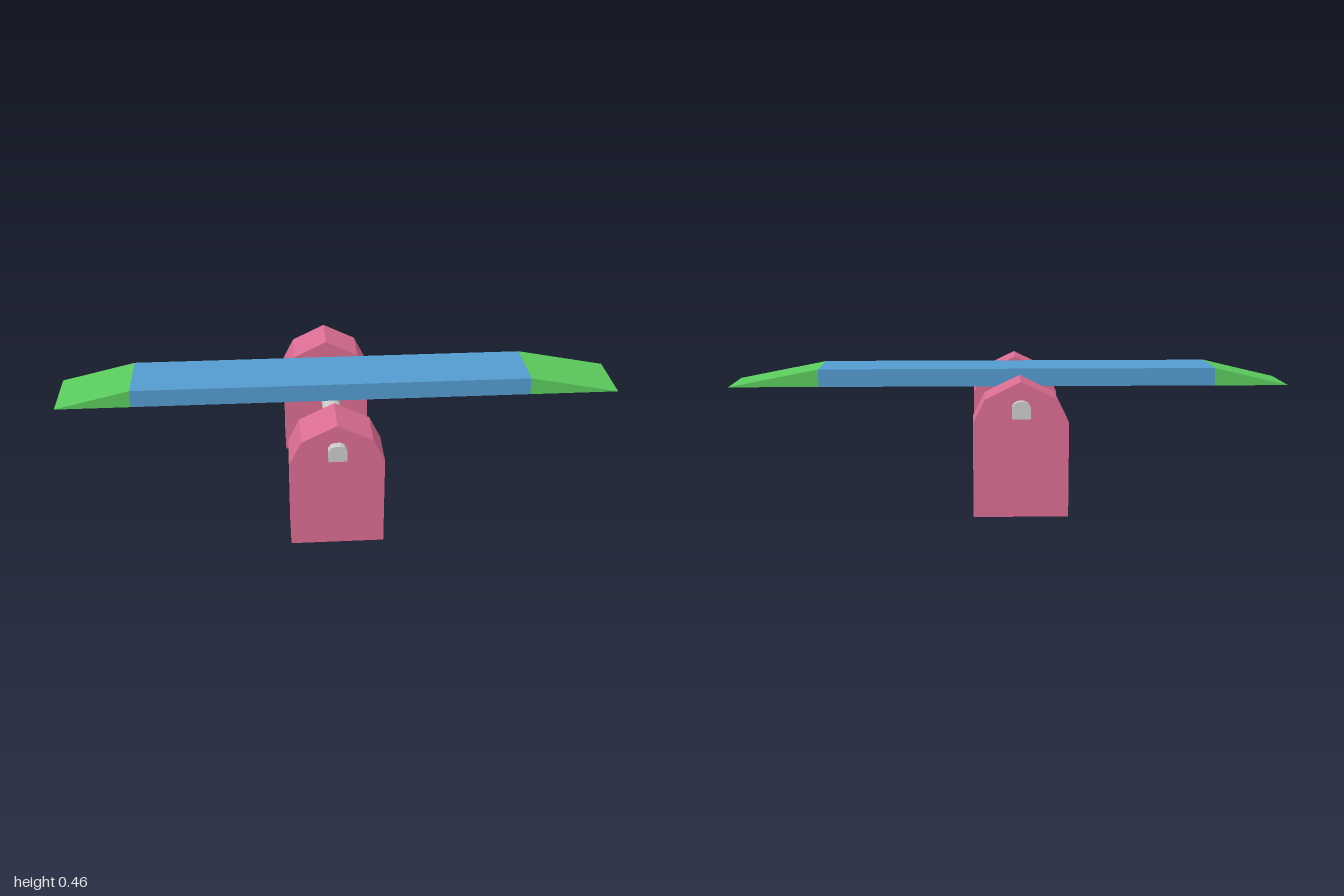
import * as THREE from 'three';

const PIVOT_X = -0.03;

const material = (color) => new THREE.MeshStandardMaterial({ color, flatShading: true });

// Extrude an x/y outline along z, centred on z = 0
function prism(name, points, depth, mat) {
  const shape = new THREE.Shape(points.map(([x, y]) => new THREE.Vector2(x, y)));
  const geometry = new THREE.ExtrudeGeometry(shape, { depth, bevelEnabled: false });
  geometry.translate(0, 0, -depth / 2);
  const mesh = new THREE.Mesh(geometry, mat);
  mesh.name = name;
  return mesh;
}

// Mirror the right half of an outline (listed bottom to top) about x = 0
const symmetric = (half) => [
  ...half,
  ...half.filter(([x]) => x > 0).reverse().map(([x, y]) => [-x, y]),
];

export function createModel() {
  const model = new THREE.Group();
  model.name = 'seesaw';
  const blue = material(0x539bd0);
  const green = material(0x5acb5c);
  const pink = material(0xdb6d93);
  const grey = material(0xcccccc);

  // Plank with a wedge at each end
  const low = 0.4, high = 0.463, width = 0.223;
  const leftX = 0.68, rightX = -0.735;
  model.add(
    prism('plank', [[rightX, low], [leftX, low], [leftX, high], [rightX, high]], width, blue),
    prism('leftWedge', [[leftX, low], [1, low], [leftX, high]], width, green),
    prism('rightWedge', [[-1, low], [rightX, low], [rightX, high]], width, green),
  );

  // Two gabled supports
  const supportOutline = symmetric([[0.16, 0], [0.16, 0.322], [0.12, 0.402], [0, 0.461]]);
  for (const [name, side] of [['frontSupport', 1], ['backSupport', -1]]) {
    const support = prism(name, supportOutline, 0.16, pink);
    support.position.set(PIVOT_X, 0, side * 0.323);
    model.add(support);
  }

  // Axle with a chamfered top, running through both supports
  const axleOutline = symmetric([[0.031, 0.34], [0.031, 0.38], [0.023, 0.392], [0.01, 0.398]]);
  const axle = prism('axle', axleOutline, 0.86, grey);
  axle.position.x = PIVOT_X;
  model.add(axle);

  return model;
}
